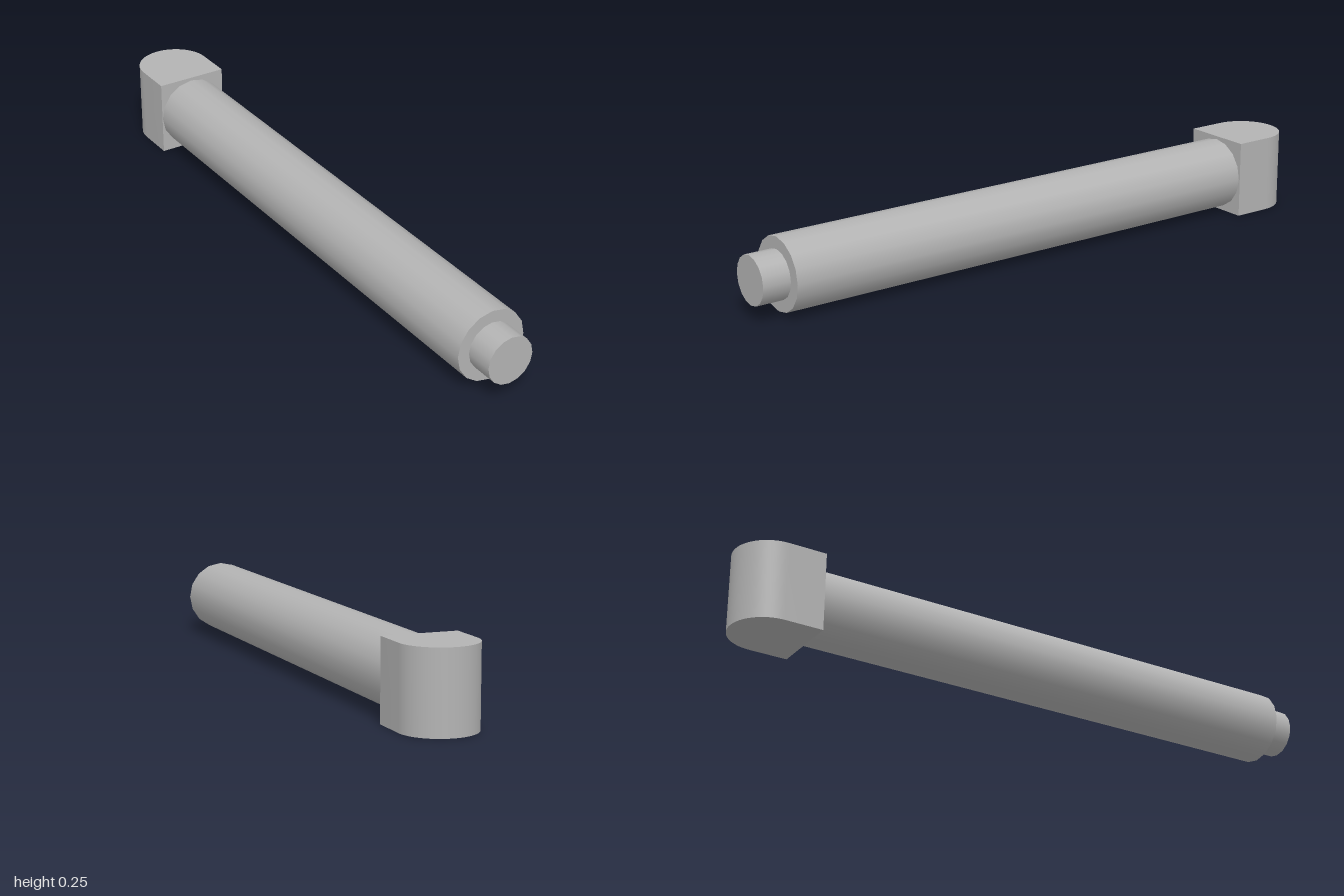
import * as THREE from 'three';
import { toCreasedNormals } from 'three/addons/utils/BufferGeometryUtils.js';

const AXIS_Y = 0.123;

export function createModel() {
  const group = new THREE.Group();
  const grey = new THREE.MeshStandardMaterial({ color: 0xb3b3b3 });
  grey.name = 'grey';

  // Sixteen-sided rod lying along z
  const addRod = (name, radius, z0, z1) => {
    const geo = new THREE.CylinderGeometry(radius, radius, z1 - z0, 16);
    geo.rotateX(Math.PI / 2);
    const mesh = new THREE.Mesh(geo, grey);
    mesh.name = name;
    mesh.position.set(-0.0015, AXIS_Y, (z0 + z1) / 2);
    group.add(mesh);
  };
  addRod('shaft', 0.114, -0.762, 0.911);
  addRod('tipPin', 0.076, 0.911, 1);

  // Head block: flat front, half-round back, extruded upward
  const r = 0.117;
  const outline = new THREE.Shape();
  outline.moveTo(-r, 0.762);
  outline.lineTo(r, 0.762);
  outline.lineTo(r, 1 - r);
  outline.absarc(0, 1 - r, r, 0, Math.PI, false);
  outline.closePath();
  const headGeo = new THREE.ExtrudeGeometry(outline, {
    depth: 0.247, bevelEnabled: false, curveSegments: 16,
  });
  headGeo.rotateX(-Math.PI / 2); // shape y becomes -z, depth becomes y
  const head = new THREE.Mesh(toCreasedNormals(headGeo, Math.PI / 6), grey);
  head.name = 'headBlock';
  group.add(head);

  return group;
}
